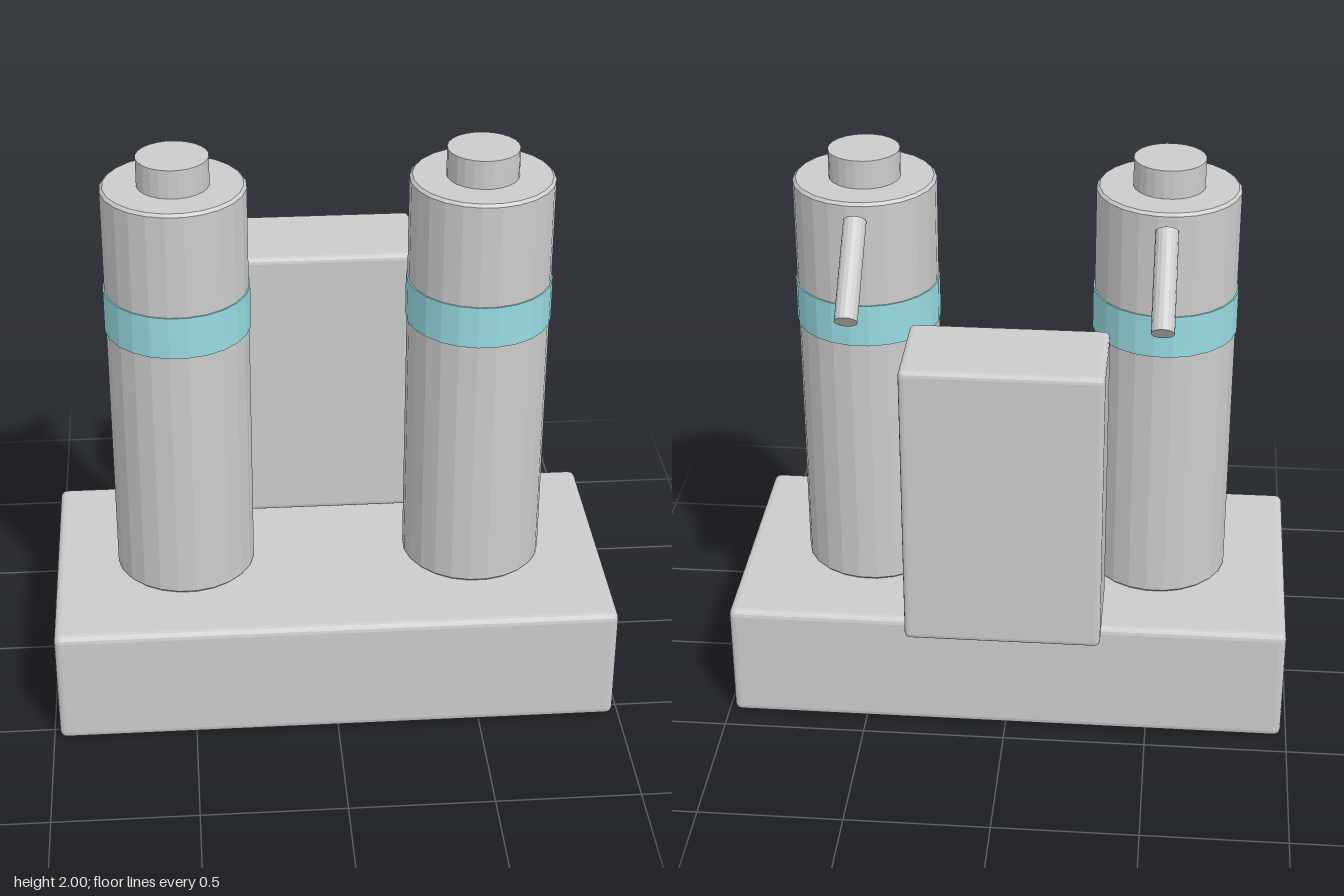
import * as THREE from 'three';
import { RoundedBoxGeometry } from 'three/addons/geometries/RoundedBoxGeometry.js';

export function createModel() {
  const model = new THREE.Group();
  model.name = 'twinTankUnit';
  const grey = new THREE.MeshStandardMaterial({ color: 0xcccccc, flatShading: true });
  grey.name = 'grey';
  const teal = new THREE.MeshStandardMaterial({ color: 0x98dbe2, flatShading: true });
  teal.name = 'teal';

  const add = (parent, name, geometry, material, x, y, z) => {
    const mesh = new THREE.Mesh(geometry, material);
    mesh.name = name;
    mesh.position.set(x, y, z);
    parent.add(mesh);
    return mesh;
  };

  // Bevelled base and the box standing behind the tanks
  add(model, 'base', new RoundedBoxGeometry(1.96, 0.43, 0.975, 2, 0.025), grey, 0, 0.215, 0.07);
  add(model, 'rearBox', new RoundedBoxGeometry(0.675, 1.04, 0.36, 2, 0.02), grey, 0, 0.96, -0.373);

  // Upright tank profile with small bevels at both rims
  const R = 0.245, B = 0.01, SIDES = 24, turn = Math.PI / SIDES;
  const profile = [
    [0, 0.43], [R - B, 0.43], [R, 0.43 + B], [R, 1.9 - B], [R - B, 1.9], [0, 1.9],
  ].map(([r, y]) => new THREE.Vector2(r, y));
  const tankGeometry = new THREE.LatheGeometry(profile, SIDES, turn);
  const bandGeometry = new THREE.CylinderGeometry(R + 0.005, R + 0.005, 0.15, SIDES, 1, false, turn);
  const capGeometry = new THREE.CylinderGeometry(0.122, 0.122, 0.1, SIDES, 1, false, turn);

  // Slanted spout running down and back from the top of each tank
  const start = new THREE.Vector3(0, 1.841, -0.249);
  const end = new THREE.Vector3(0, 1.6, -0.515);
  const axis = end.clone().sub(start);
  const spoutGeometry = new THREE.CylinderGeometry(0.039, 0.039, axis.length(), 16);

  for (const side of [-1, 1]) {
    const unit = new THREE.Group();
    unit.name = side > 0 ? 'leftTank' : 'rightTank';
    unit.position.set(side * 0.515, 0, 0.07);
    add(unit, 'tankBody', tankGeometry, grey, 0, 0, 0);
    add(unit, 'tankBand', bandGeometry, teal, 0, 1.452, 0);
    add(unit, 'tankCap', capGeometry, grey, 0, 1.95, 0);
    const mid = start.clone().add(end).multiplyScalar(0.5);
    const spout = add(unit, 'spout', spoutGeometry, grey, mid.x, mid.y, mid.z);
    spout.quaternion.setFromUnitVectors(new THREE.Vector3(0, 1, 0), axis.clone().normalize());
    model.add(unit);
  }
  return model;
}
